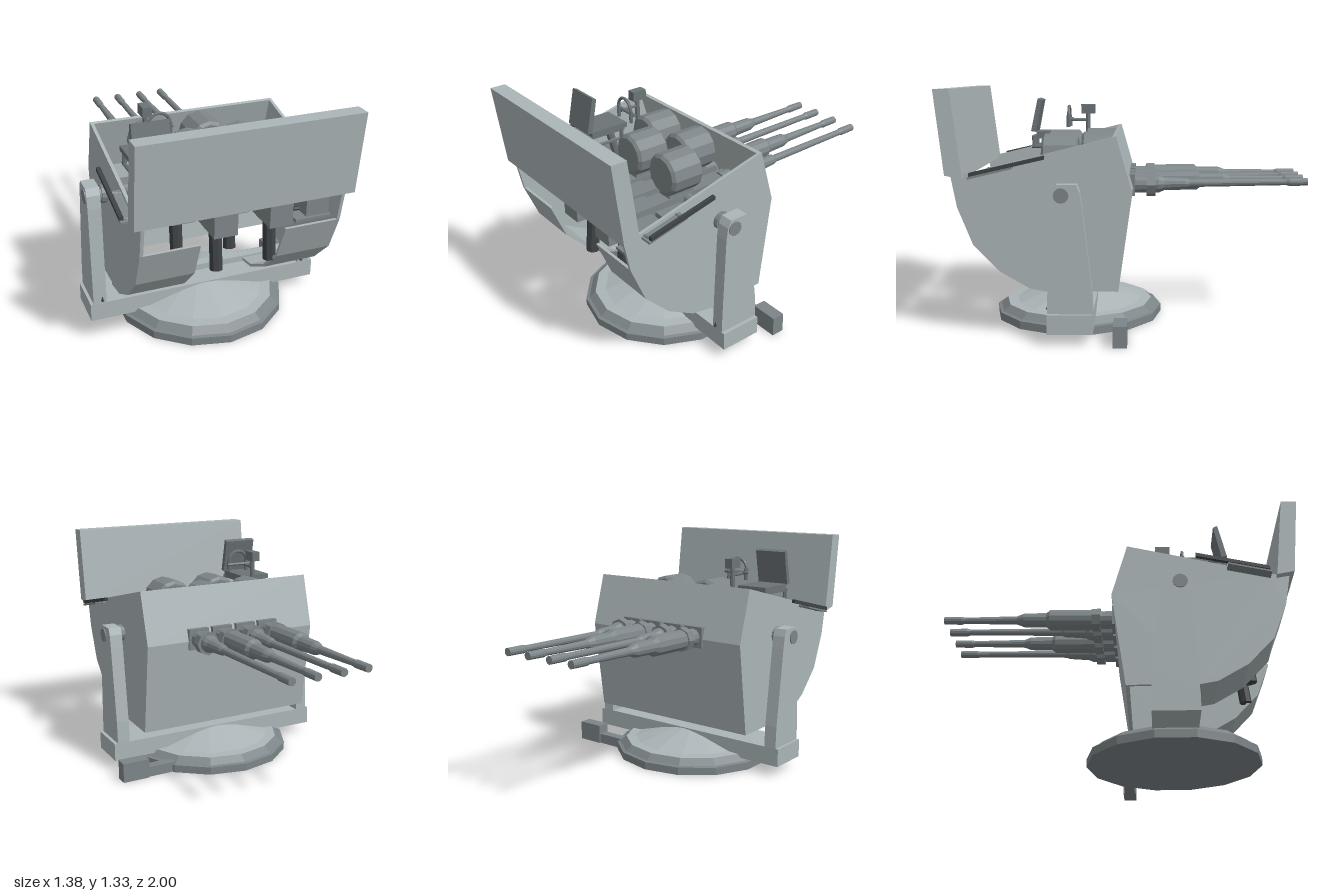
import * as THREE from 'three';

const CX = -0.012; // centre line of the armoured tub
const paint = color => new THREE.MeshStandardMaterial({ color, flatShading: true, side: THREE.DoubleSide });
const ARMOUR = paint(0xabb5b7), STEEL = paint(0x7d8588), SEAT = paint(0x6c7477), DARK = paint(0x3e4345);

export function createModel() {
  const root = new THREE.Group();
  let mat = ARMOUR; // paint used for the parts that follow

  const add = (name, geo, parent = root) => {
    const m = new THREE.Mesh(geo, mat);
    m.name = name;
    parent.add(m);
    return m;
  };
  const group = name => {
    const g = new THREE.Group();
    g.name = name;
    root.add(g);
    return g;
  };
  // Box given by its min and max on each axis
  const box = (name, x0, x1, y0, y1, z0, z1, parent) =>
    add(name, new THREE.BoxGeometry(x1 - x0, y1 - y0, z1 - z0)
      .translate((x0 + x1) / 2, (y0 + y1) / 2, (z0 + z1) / 2), parent);
  // Side profile of [z, y] points, extruded from x0 to x1
  const slab = (name, pts, x0, x1, parent) => {
    const shape = new THREE.Shape(pts.map(p => new THREE.Vector2(p[0], p[1])));
    const g = new THREE.ExtrudeGeometry(shape, { depth: x1 - x0, bevelEnabled: false });
    return add(name, g.rotateY(-Math.PI / 2).translate(x1, 0, 0), parent);
  };
  const lathe = (pts, sides) =>
    new THREE.LatheGeometry(pts.map(p => new THREE.Vector2(p[0], p[1])), sides);
  // Straight rod between two points
  const rod = (name, a, b, r, sides = 8, parent) => {
    const A = new THREE.Vector3(...a), B = new THREE.Vector3(...b);
    const m = add(name, new THREE.CylinderGeometry(r, r, A.distanceTo(B), sides), parent);
    m.position.copy(A).lerp(B, 0.5);
    m.quaternion.setFromUnitVectors(new THREE.Vector3(0, 1, 0), B.sub(A).normalize());
    return m;
  };

  // Turntable: pale cone on a dark stepped ring, with side box
  add('turntableCone', lathe([[0.43, 0.085], [0.37, 0.088], [0.1, 0.17], [0, 0.17]], 14))
    .position.set(-0.01, 0, 0.3);
  mat = STEEL;
  add('turntableRing', lathe([[0, 0], [0.487, 0], [0.487, 0.045], [0.468, 0.05], [0.43, 0.085]], 14))
    .position.set(-0.01, 0, 0.3);
  box('sideBoxArm', 0.36, 0.56, 0, 0.06, 0.01, 0.07);
  box('sideBox', 0.53, 0.69, 0, 0.115, 0, 0.075);

  // Yoke: cross beam, tapered columns and trunnions
  mat = ARMOUR;
  box('yokeBeam', -0.69, 0.67, 0.065, 0.17, 0.18, 0.42);
  const column = [[0.42, 0.165], [0.415, 0.3], [0.395, 0.74], [0.385, 0.81], [0.365, 0.85],
    [0.26, 0.85], [0.245, 0.81], [0.235, 0.74], [0.185, 0.3], [0.18, 0.165]];
  for (const s of [-1, 1]) {
    const x = c => CX + s * c;
    mat = ARMOUR;
    slab('yokeColumn', column, x(0.624) - 0.037, x(0.624) + 0.037);
    mat = STEEL;
    rod('trunnion', [x(0.53), 0.795, 0.34], [x(0.667), 0.795, 0.34], 0.04, 12);
    rod('trunnionCollar', [x(0.55), 0.795, 0.34], [x(0.575), 0.795, 0.34], 0.05, 12);
    mat = DARK;
    const pin = add('columnPin', new THREE.ConeGeometry(0.01, 0.03, 6));
    pin.position.set(x(0.61), 0.197, 0.42);
  }
  mat = STEEL;
  rod('trunnionShaft', [-0.55, 0.8, 0.34], [0.53, 0.8, 0.34], 0.032, 10);

  // Armoured tub: side plates, bent gun plate, curved foot plates
  mat = ARMOUR;
  const tub = group('armourTub');
  const rear = [[0.06, 1.09], [-0.025, 0.79], [0.05, 0.26]];
  const belly = [[0.38, 0.25], [0.52, 0.275], [0.68, 0.367], [0.82, 0.512], [0.9, 0.715]];
  const side = [...rear, [0.42, 0.265], ...belly.slice(1), [0.93, 0.88], [0.82, 0.9]];
  for (const s of [-1, 1]) {
    const c = CX + s * 0.533;
    slab('sidePlate', side, c - 0.009, c + 0.009, tub);
  }
  const inner = pts => pts.map(([z, y]) => [0.45 + (z - 0.45) * 0.965, 0.75 + (y - 0.75) * 0.965]).reverse();
  slab('gunPlate', [...rear, [0.07, 0.26], [-0.005, 0.79], [0.08, 1.085]], -0.545, 0.52, tub);
  for (const [x0, x1] of [[-0.554, -0.24], [0.22, 0.53]])
    slab('footPlate', [...belly, ...inner(belly)], x0, x1, tub);
  box('lowerCrossBar', -0.54, 0.52, 0.25, 0.285, 0.37, 0.41, tub);
  mat = STEEL;
  box('innerCrossBar', -0.48, 0.46, 0.715, 0.73, 0.28, 0.36, tub);
  box('innerFloor', -0.535, -0.3, 0.715, 0.73, 0.06, 0.27, tub);

  // Slanted front visor
  mat = ARMOUR;
  slab('frontVisor', [[1, 1.333], [0.915, 1.334], [0.86, 0.87], [0.953, 0.887]], -0.595, 0.57);

  // Sloped brackets that carry the visor
  for (const s of [-1, 1]) {
    const g = group('visorBracket');
    const c = CX + s * 0.603;
    mat = DARK;
    slab('bracketArm', [[0.82, 0.885], [0.82, 0.905], [0.43, 0.995], [0.43, 0.975]], c - 0.011, c + 0.011, g);
    mat = STEEL;
    slab('bracketPlate', [[0.83, 0.87], [0.83, 0.88], [0.6, 0.935], [0.6, 0.925]],
      CX + s * 0.575 - 0.035, CX + s * 0.575 + 0.035, g);
    for (const [z, y] of [[0.81, 0.87], [0.62, 0.915]])
      rod('bracketPin', [CX + s * 0.53, y + 0.01, z], [c, y + 0.02, z], 0.009, 6, g);
  }

  // Guns: two long-jacket guns set back, two short-jacket guns set forward
  const longJacket = [[0.058, 0.15], [0.058, 0.39], [0.042, 0.41], [0.039, 0.54], [0.024, 0.58]];
  const shortJacket = [[0.05, 0.15], [0.05, 0.17], [0.038, 0.2], [0.03, 0.32], [0.022, 0.34]];
  [[-0.24, 0], [-0.09, 1], [0.065, 0], [0.215, 1]].forEach(([x, forward]) => {
    const gun = group('gun');
    gun.position.x = x;
    mat = STEEL;
    const jacket = forward ? shortJacket : longJacket;
    const barrel = add('barrel', lathe([[0, -0.08], [0.05, -0.08], [0.05, 0.09], ...jacket, [0.018, 0.88],
      [0.023, 0.9], [0.022, 1], [0, 1]], 12).rotateX(-Math.PI / 2), gun);
    barrel.position.y = 0.799;
    barrel.rotation.x = 0.015;
    add('collarNut', new THREE.CylinderGeometry(0.068, 0.068, 0.05, 8).rotateX(Math.PI / 2)
      .translate(0, 0.8, -0.125), gun);
    box('gunPort', -0.062, 0.062, 0.74, 0.86, -0.035, 0, gun);

    // Receiver, drum magazine and ejection chute
    const end = forward ? 0.75 : 0.655;
    box('receiver', -0.05, 0.05, 0.73, 0.835, 0.02, end, gun);
    box('breech', -0.064, 0.064, 0.708, 0.842, end - 0.2, end, gun);
    if (forward) box('buttBlock', -0.064, 0.064, 0.71, 0.85, end, 0.86, gun);
    add('drumMagazine', lathe([[0, -0.1], [0.1, -0.1], [0.117, -0.085], [0.117, 0.085],
      [0.1, 0.1], [0, 0.1]], 12).rotateX(Math.PI / 2).translate(0, 0.965, forward ? 0.38 : 0.17), gun);
    box('drumCradle', -0.045, 0.045, 0.83, 0.87, forward ? 0.3 : 0.1, forward ? 0.46 : 0.25, gun);
    mat = DARK;
    if (!forward) rod('breechKnob', [0, 0.803, end], [-0.01, 0.803, end + 0.035], 0.02, 8, gun);
    const z = forward ? 0.745 : 0.56;
    rod('ejectionChute', [0, 0.73, z - 0.03], [0, 0.46, z], 0.036, 8, gun);
  });

  // Gunner's seat
  const seat = group('seat');
  mat = SEAT;
  box('seatCushion', -0.475, -0.285, 1.03, 1.058, 0.35, 0.58, seat);
  box('seatFrame', -0.465, -0.295, 1.012, 1.03, 0.36, 0.61, seat);
  slab('backrest', [[0.612, 1.06], [0.582, 1.055], [0.543, 1.25], [0.568, 1.26]], -0.48, -0.28, seat);
  for (const x of [-0.46, -0.3]) {
    for (const z of [0.38, 0.595]) rod('seatLeg', [x, 0.96, z], [x, 1.03, z], 0.013, 6, seat);
    rod('seatRail', [x, 0.965, 0.36], [x, 0.965, 0.61], 0.011, 6, seat);
  }
  rod('seatSupport', [-0.38, 0.8, 0.36], [-0.38, 1.02, 0.42], 0.025, 8, seat);

  // Sight with hand grips
  const sight = group('sight');
  box('sightHead', -0.33, -0.28, 1.17, 1.225, 0.215, 0.3, sight);
  rod('sightPost', [-0.305, 0.84, 0.26], [-0.305, 1.18, 0.26], 0.014, 8, sight);
  rod('sightArm', [-0.305, 1.13, 0.26], [-0.305, 1.13, 0.37], 0.01, 6, sight);
  const grip = add('handGrip', new THREE.TorusGeometry(0.06, 0.009, 6, 12, Math.PI), sight);
  grip.position.set(-0.265, 1.155, 0.372);
  rod('gripBar', [-0.345, 1.135, 0.36], [-0.185, 1.135, 0.36], 0.01, 6, sight);
  for (const x of [-0.325, -0.205]) rod('gripHandle', [x, 1.09, 0.372], [x, 1.16, 0.372], 0.012, 6, sight);

  // Equipment boxes and levers inside the tub
  mat = STEEL;
  box('equipmentBox', 0.375, 0.505, 0.72, 0.875, 0.48, 0.635);
  box('equipmentBox', 0.375, 0.505, 0.72, 0.875, 0.66, 0.825);
  box('equipmentShelf', 0.31, 0.51, 0.705, 0.72, 0.46, 0.84);
  box('innerRail', -0.5, -0.3, 0.785, 0.81, 0.44, 0.47);
  mat = DARK;
  rod('boxKnob', [0.345, 0.73, 0.74], [0.38, 0.73, 0.74], 0.012, 6);
  rod('railKnob', [-0.4, 0.805, 0.46], [-0.4, 0.805, 0.52], 0.02, 8);

  return root;
}
